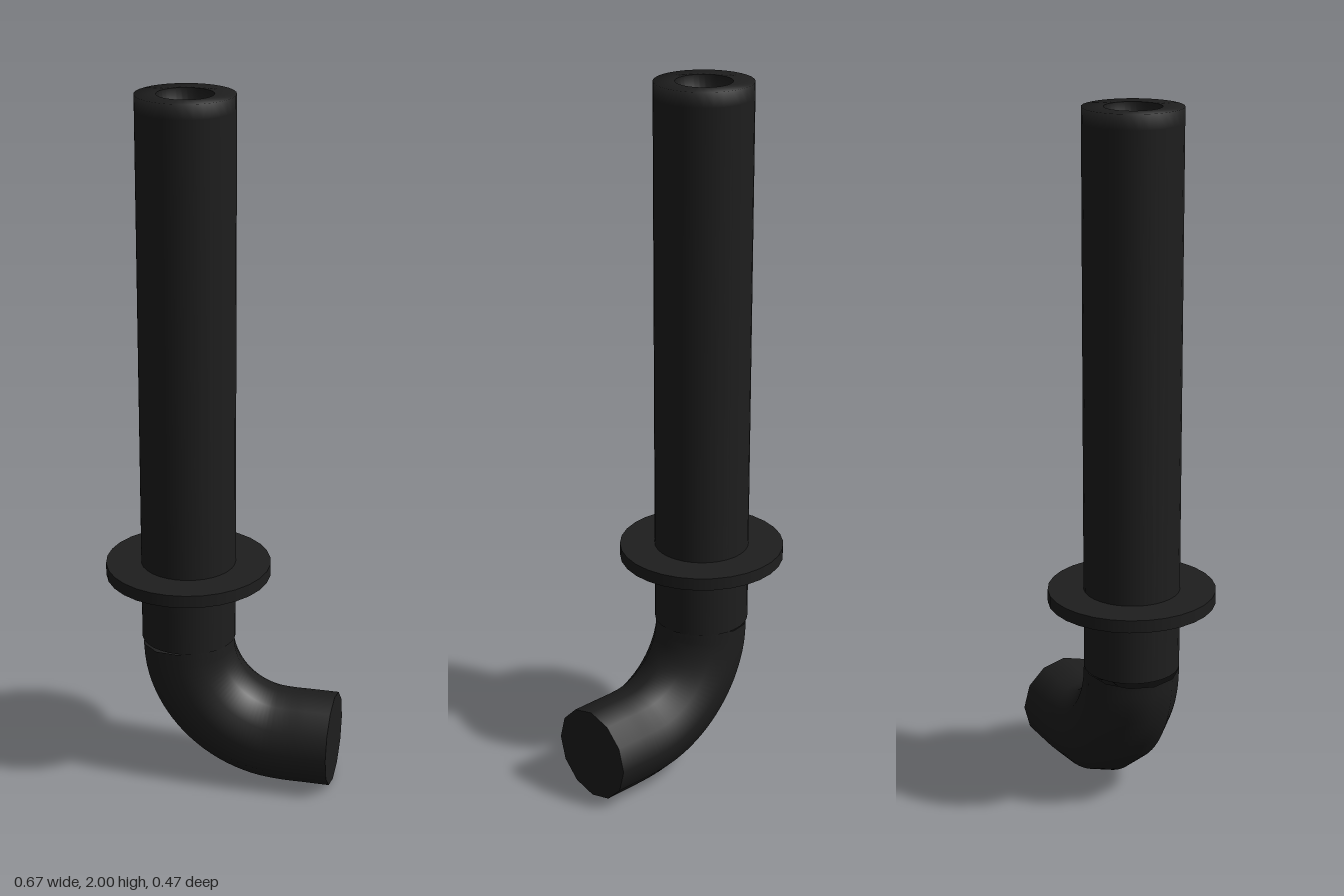
import * as THREE from 'three';

const RADIUS = 0.135;
const PIPE_X = -0.1;
const v2 = (x, y) => new THREE.Vector2(x, y);

export function createModel() {
  const group = new THREE.Group();
  const material = new THREE.MeshStandardMaterial({ color: 0x1e1e1e, side: THREE.DoubleSide });
  const add = (name, geometry, x = 0, y = 0) => {
    const mesh = new THREE.Mesh(geometry, material);
    mesh.name = name;
    mesh.position.set(x, y, 0);
    group.add(mesh);
    return mesh;
  };

  // Upright pipe with a softly shaded rim
  add('uprightPipe', new THREE.LatheGeometry([
    v2(RADIUS, 0.428), v2(RADIUS, 1.96), v2(RADIUS, 2), v2(0.077, 2),
  ], 32), PIPE_X);

  // Recessed bore in the top of the pipe
  add('topBore', new THREE.LatheGeometry([
    v2(0.077, 2), v2(0.075, 1.92), v2(0.001, 1.91),
  ], 32), PIPE_X);

  // Flat collar around the pipe
  add('collar', new THREE.CylinderGeometry(0.235, 0.235, 0.036, 30), PIPE_X, 0.643);

  // Elbow: quarter bend followed by a short straight outlet
  const bend = 0.289, cx = PIPE_X + bend, cy = 0.425, steps = 8;
  const points = [];
  for (let i = 0; i <= steps; i++) {
    const a = (i / steps) * Math.PI / 2;
    points.push(new THREE.Vector3(cx - bend * Math.cos(a), cy - bend * Math.sin(a), 0));
  }
  points.push(new THREE.Vector3(0.26, cy - bend, 0), new THREE.Vector3(0.332, cy - bend, 0));
  const path = new THREE.CatmullRomCurve3(points);
  add('elbow', new THREE.TubeGeometry(path, 32, RADIUS, 12, false));

  // Closed face of the outlet
  add('outletFace', new THREE.CircleGeometry(RADIUS, 12).rotateY(Math.PI / 2), 0.332, cy - bend);

  return group;
}
